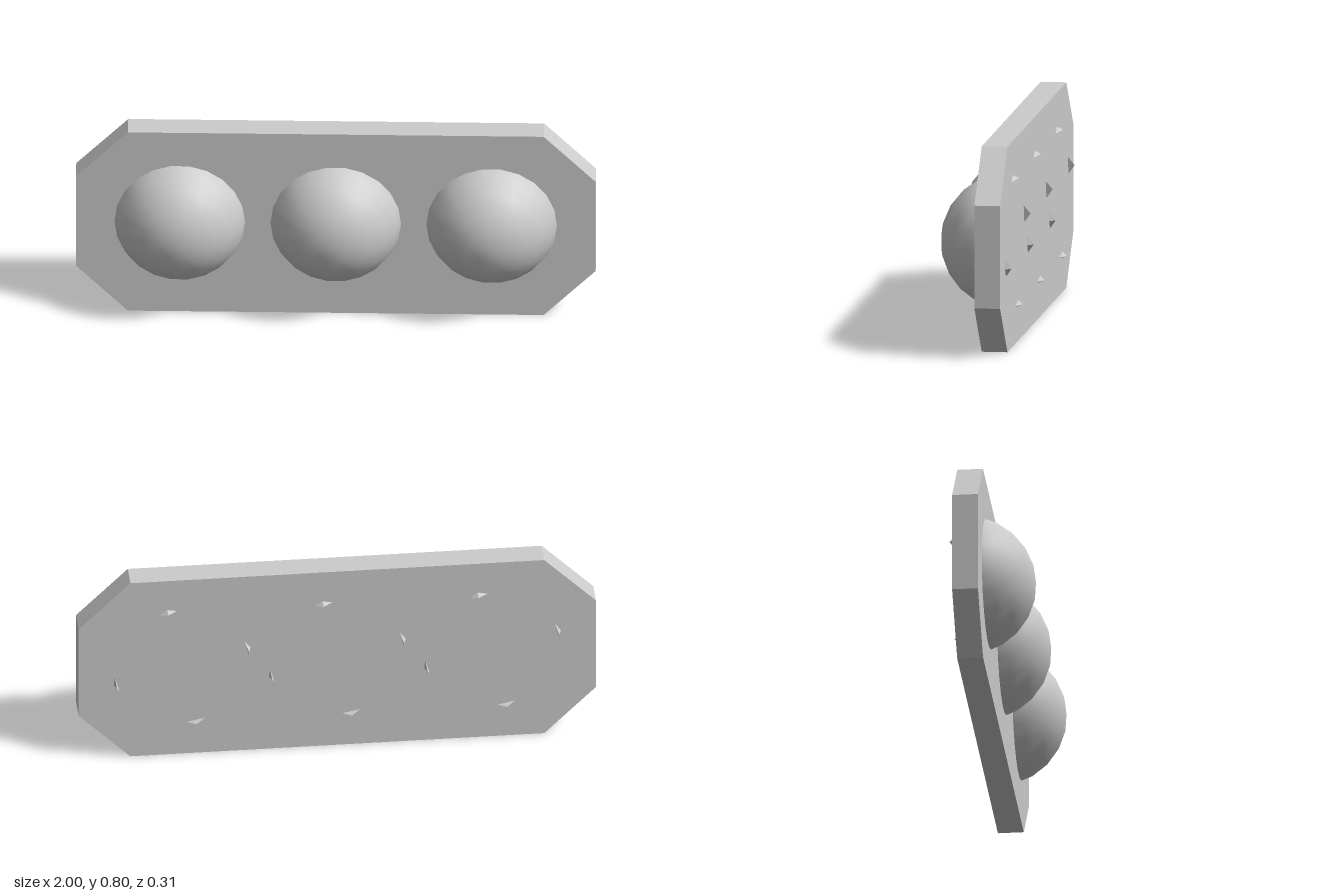
import * as THREE from 'three';

const CENTRE_Y = 0.402, DOME_Z = -0.111, DOME_R = 0.266;
const PLATE_BACK = -0.13, PLATE_DEPTH = 0.1;

export function createModel() {
  const group = new THREE.Group();
  const smooth = new THREE.MeshStandardMaterial({ color: 0xcccccc });
  const flat = new THREE.MeshStandardMaterial({ color: 0xcccccc, flatShading: true });

  // Backing plate: a rectangle with chamfered corners
  const outline = new THREE.Shape([
    [-0.8, 0], [0.8, 0], [1, 0.2], [1, 0.6],
    [0.8, 0.8], [-0.8, 0.8], [-1, 0.6], [-1, 0.2],
  ].map(([x, y]) => new THREE.Vector2(x, y)));
  const plate = new THREE.Mesh(
    new THREE.ExtrudeGeometry(outline, { depth: PLATE_DEPTH, bevelEnabled: false }), flat);
  plate.position.z = PLATE_BACK;
  plate.name = 'backingPlate';
  group.add(plate);

  // Domed lens, its pole facing forward and its rim inside the plate
  const domeGeometry = new THREE.SphereGeometry(
    DOME_R, 22, 6, 0, Math.PI * 2, 0, THREE.MathUtils.degToRad(93));
  domeGeometry.rotateX(Math.PI / 2);

  // Thin three-sided tab that pokes out of the plate's back
  const tabGeometry = new THREE.ConeGeometry(0.042, 0.025, 3);
  tabGeometry.scale(1, 1, 0.24);
  tabGeometry.rotateX(-Math.PI / 2);

  // Tab positions around each lens: top, bottom, left, right
  const tabs = [[0.055, 0.255], [-0.055, -0.255], [0.255, -0.0675], [-0.255, 0.0675]];

  [-0.6, 0, 0.6].forEach((x, i) => {
    const lamp = new THREE.Group();
    lamp.name = ['rightLamp', 'middleLamp', 'leftLamp'][i];
    lamp.position.set(x, CENTRE_Y, 0);

    const dome = new THREE.Mesh(domeGeometry, smooth);
    dome.name = 'dome';
    dome.position.z = DOME_Z;
    lamp.add(dome);

    for (const [tx, ty] of tabs) {
      const tab = new THREE.Mesh(tabGeometry, flat);
      tab.name = 'rearTab';
      tab.position.set(tx, ty, PLATE_BACK - 0.012);
      tab.rotation.z = Math.atan2(ty, tx) - Math.PI / 2;
      lamp.add(tab);
    }
    group.add(lamp);
  });

  return group;
}
